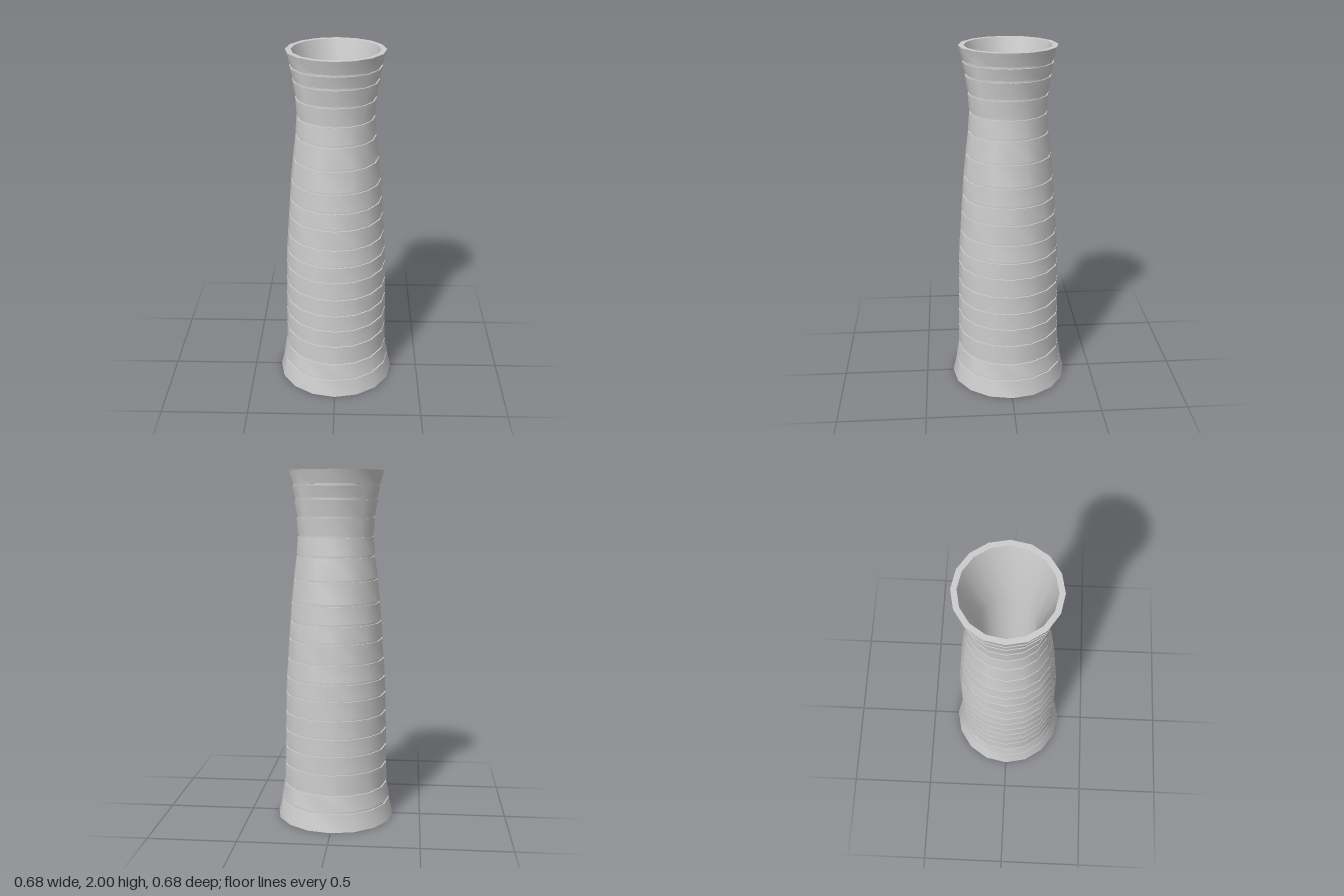
import * as THREE from 'three';
import { toCreasedNormals } from 'three/addons/utils/BufferGeometryUtils.js';

const SIDES = 16;
const WALL = 0.013;
const GROOVE_DEPTH = 0.008;
const GROOVE_HALF = 0.006;

// Closed profile turned into a sixteen-sided shell: smooth around, sharp at edges
function turned(name, profile, material) {
  const points = [...profile, profile[0]].map(([r, y]) => new THREE.Vector2(r, y));
  const geometry = toCreasedNormals(new THREE.LatheGeometry(points, SIDES), 0.6);
  const mesh = new THREE.Mesh(geometry, material);
  mesh.name = name;
  return mesh;
}

export function createModel() {
  const group = new THREE.Group();
  group.name = 'coolingTower';
  const material = new THREE.MeshStandardMaterial({ color: 0xcccccc, side: THREE.DoubleSide });

  // Height and outer radius at each joint between the stacked bands
  const joints = [
    [0, 0.34], [0.105, 0.318], [0.205, 0.302], [0.325, 0.299], [0.43, 0.297],
    [0.53, 0.295], [0.635, 0.293], [0.745, 0.29], [0.84, 0.286], [0.945, 0.278],
    [1.06, 0.27], [1.16, 0.262], [1.27, 0.254], [1.4, 0.24], [1.53, 0.224],
    [1.64, 0.216], [1.745, 0.222], [1.845, 0.236], [1.92, 0.25], [2, 0.27],
  ];

  // Banded wall with a narrow recessed groove at every inner joint
  const outer = [];
  joints.forEach(([y, r], i) => {
    if (i === 0 || i === joints.length - 1) {
      outer.push([r, y]);
      return;
    }
    const low = y - GROOVE_HALF, high = y + GROOVE_HALF;
    outer.push([r, low], [r - GROOVE_DEPTH, low], [r - GROOVE_DEPTH, high], [r, high]);
  });
  const inner = outer.map(([r, y]) => [r - WALL, y]).reverse();
  group.add(turned('bandedWall', [...outer, ...inner], material));

  // Funnel at the mouth, narrowing into a long inner pipe
  group.add(turned('innerFunnel', [
    [0.13, 0.07], [0.157, 1.6], [0.257, 2],
    [0.24, 2], [0.15, 1.6], [0.124, 0.07],
  ], material));

  return group;
}
